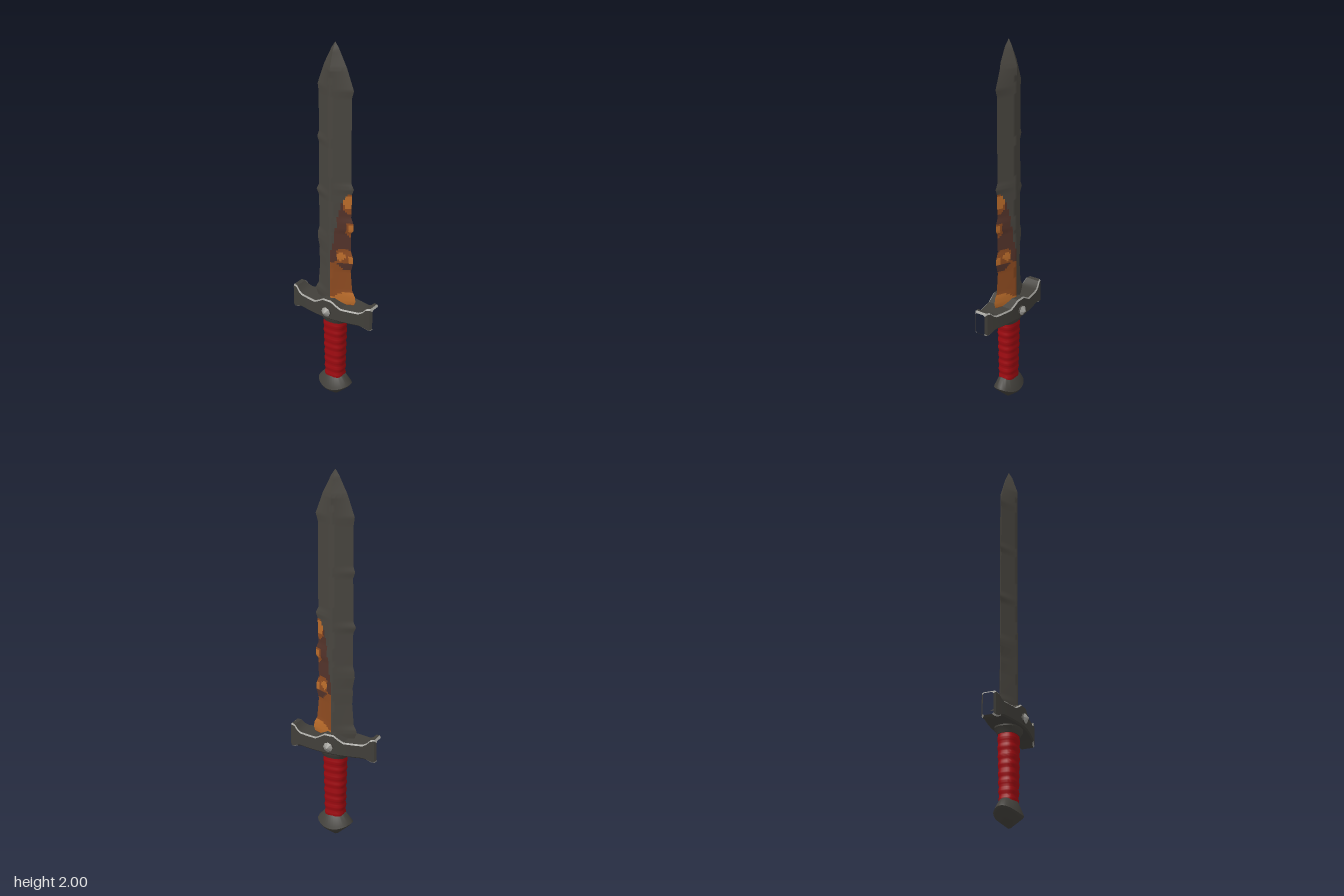
import * as THREE from 'three';
import { toCreasedNormals } from 'three/addons/utils/BufferGeometryUtils.js';

const paint = (name, color) => {
  const m = new THREE.MeshStandardMaterial({ color });
  m.name = name;
  return m;
};

// Linear lookup in a table of [key, value] pairs
function lookup(table, k) {
  if (k <= table[0][0]) return table[0][1];
  for (let i = 1; i < table.length; i++) {
    const [a, va] = table[i - 1], [b, vb] = table[i];
    if (k <= b) return va + (vb - va) * (k - a) / (b - a);
  }
  return table[table.length - 1][1];
}

// Collects quads per material and turns them into one mesh with groups
class Patchwork {
  constructor() { this.map = new Map(); }
  quad(mat, a, b, c, d) {
    if (!this.map.has(mat)) this.map.set(mat, []);
    this.map.get(mat).push(...a, ...b, ...c, ...a, ...c, ...d);
  }
  mesh(name, crease) {
    let geo = new THREE.BufferGeometry();
    const all = [], mats = [...this.map.keys()];
    mats.forEach((m, i) => {
      const p = this.map.get(m);
      geo.addGroup(all.length / 3, p.length / 3, i);
      for (const v of p) all.push(v);
    });
    geo.setAttribute('position', new THREE.Float32BufferAttribute(all, 3));
    geo = toCreasedNormals(geo, crease);
    const mesh = new THREE.Mesh(geo, mats);
    mesh.name = name;
    return mesh;
  }
}

// Chipped edge outlines: [height, half width]
const leftEdge = [[0.57, 0.105], [0.6, 0.115], [0.625, 0.125], [0.66, 0.106], [0.78, 0.096], [0.84, 0.1],
  [0.87, 0.098], [0.93, 0.11], [0.96, 0.108], [0.99, 0.099], [1.17, 0.1], [1.2, 0.115], [1.23, 0.101],
  [1.46, 0.098], [1.49, 0.109], [1.52, 0.099], [1.73, 0.099], [1.77, 0.105], [1.88, 0.066], [1.97, 0.021], [2, 0.001]];
const rightEdge = [[0.57, 0.11], [0.61, 0.127], [0.64, 0.122], [0.67, 0.106], [0.78, 0.096], [0.83, 0.11],
  [0.86, 0.11], [0.9, 0.096], [1, 0.097], [1.02, 0.111], [1.06, 0.11], [1.09, 0.097], [1.17, 0.1],
  [1.22, 0.101], [1.25, 0.112], [1.28, 0.097], [1.73, 0.097], [1.77, 0.109], [1.88, 0.068], [1.97, 0.022], [2, 0.001]];
const thickness = [[1.87, 0.05], [1.96, 0.022], [2, 0.001]];

// Rust: where it starts, and blobs [x, y, rx, ry]
const rustStart = [[0.57, -0.001], [0.88, 0], [0.95, 0.018], [1.1, 0.036], [1.17, 0.055], [1.22, 0.08], [1.24, 0.2]];
const brightBlobs = [[0.088, 1.175, 0.024, 0.04], [0.105, 1.03, 0.018, 0.025], [0.085, 0.625, 0.065, 0.035],
  [0.05, 0.865, 0.022, 0.022], [0.1, 0.85, 0.014, 0.02], [0.02, 0.6, 0.03, 0.03]];
const darkBlobs = [[0.085, 0.81, 0.03, 0.022], [0.01, 0.87, 0.025, 0.04]];
const midBlobs = [[0.09, 1.17, 0.035, 0.06], [0.1, 1.02, 0.028, 0.045], [0.06, 0.87, 0.04, 0.045]];
const inside = (blobs, x, y) => blobs.some(([cx, cy, rx, ry]) => ((x - cx) / rx) ** 2 + ((y - cy) / ry) ** 2 < 1);

function makeBlade(steel, bright, mid, dark) {
  const work = new Patchwork();
  const rows = 143, cols = 10;
  const colour = (x, y) => {
    if (x < lookup(rustStart, y)) return steel;
    if (inside(brightBlobs, x, y)) return bright;
    if (inside(darkBlobs, x, y)) return dark;
    if (inside(midBlobs, x, y)) return mid;
    return y < 0.83 + 0.02 * Math.sin(x * 90) ? mid : dark;
  };
  // Diamond section; t runs from -1 at one edge to 1 at the other
  const point = (t, y, side) => [
    t * lookup(t < 0 ? leftEdge : rightEdge, y), y, side * lookup(thickness, y) * (1 - Math.abs(t))];
  for (let r = 0; r < rows; r++) {
    const y0 = 0.57 + r * 0.01, y1 = y0 + 0.01;
    for (let c = -cols; c < cols; c++) {
      const t0 = c / cols, t1 = (c + 1) / cols, ym = (y0 + y1) / 2;
      const mat = colour(point((t0 + t1) / 2, ym, 1)[0], ym);
      work.quad(mat, point(t0, y0, 1), point(t1, y0, 1), point(t1, y1, 1), point(t0, y1, 1));
      work.quad(mat, point(t1, y0, -1), point(t0, y0, -1), point(t0, y1, -1), point(t1, y1, -1));
    }
  }
  return work.mesh('blade', 1.05);
}

function makeGuard(metal, silver) {
  const work = new Patchwork();
  const top = [[0, 0.62], [0.025, 0.62], [0.05, 0.604], [0.08, 0.587], [0.18, 0.587], [0.2, 0.597],
    [0.22, 0.617], [0.24, 0.62], [0.25, 0.611]];
  const bottom = [[0, 0.508], [0.18, 0.508], [0.2, 0.502], [0.22, 0.491], [0.24, 0.488], [0.25, 0.497]];
  const half = [0.025, 0.05, 0.08, 0.105, 0.13, 0.155, 0.18, 0.2, 0.22, 0.24, 0.25];
  const xs = [...half.map(x => -x).reverse(), 0, ...half];
  const b = 0.007;
  // Bevelled rectangle across the guard, counter-clockwise seen from +x
  const section = x => {
    const a = Math.abs(x), hi = lookup(top, a), lo = lookup(bottom, a);
    const z = 0.082 - 0.047 * (a / 0.25) ** 1.7 - (a > 0.245 ? 0.007 : 0);
    return [[z - b, lo], [-z + b, lo], [-z, lo + b], [-z, hi - b], [-z + b, hi], [z - b, hi], [z, hi - b], [z, lo + b]]
      .map(([pz, py]) => [x, py, pz]);
  };
  for (let i = 0; i < xs.length - 1; i++) {
    const p = section(xs[i]), q = section(xs[i + 1]);
    const a = Math.abs(xs[i] + xs[i + 1]) / 2;
    for (let k = 0; k < 8; k++) {
      const n = (k + 1) % 8;
      const worn = k === 3 || k === 5 || (a > 0.19 && (k === 1 || k === 7)) || (a > 0.24 && k === 4);
      work.quad(worn ? silver : metal, p[k], p[n], q[n], q[k]);
    }
  }
  // End caps
  for (const s of [-1, 1]) {
    const p = section(0.25 * s);
    for (const [i, j, k, l] of [[0, 1, 2, 7], [7, 2, 3, 6], [6, 3, 4, 5]]) {
      if (s < 0) work.quad(metal, p[i], p[j], p[k], p[l]);
      else work.quad(metal, p[l], p[k], p[j], p[i]);
    }
  }
  return work.mesh('crossguard', 0.5);
}

// Turned part squashed in z; power below 1 makes the oval squarer
function turned(name, profile, depth, mat, power = 1, bend = null, crease = 0.6) {
  let geo = new THREE.LatheGeometry(profile.map(([r, y]) => new THREE.Vector2(r, y)), 32);
  const pos = geo.attributes.position;
  for (let i = 0; i < pos.count; i++) {
    const x = pos.getX(i), y = pos.getY(i), z = pos.getZ(i), r = Math.hypot(x, z) || 1;
    const c = x / r, s = z / r;
    const square = v => Math.sign(v) * Math.abs(v) ** power;
    pos.setXYZ(i, r * square(c), y + (bend ? bend(y, s) : 0), r * square(s) * depth);
  }
  geo = toCreasedNormals(geo, crease);
  const mesh = new THREE.Mesh(geo, mat);
  mesh.name = name;
  return mesh;
}

export function createModel() {
  const steel = paint('dark steel', 0x48453f);
  const metal = paint('guard metal', 0x413f3a);
  const silver = paint('worn silver', 0x9c9b96);
  const red = paint('red leather', 0x9c0a10);
  const bright = paint('bright rust', 0xbb6c2a);
  const mid = paint('rust', 0x8c4a20);
  const dark = paint('dark rust', 0x53332a);

  const sword = new THREE.Group();
  sword.name = 'sword';
  sword.add(makeBlade(steel, bright, mid, dark), makeGuard(metal, silver));

  // Pointed studs on both faces of the guard
  for (const s of [1, -1]) {
    const stud = new THREE.Group();
    stud.name = s > 0 ? 'frontStud' : 'backStud';
    const base = new THREE.Mesh(new THREE.CylinderGeometry(0.028, 0.028, 0.015, 8), metal);
    base.name = 'studBase';
    const cone = new THREE.Mesh(toCreasedNormals(new THREE.ConeGeometry(0.027, 0.02, 8), 0.2), silver);
    cone.name = 'studPoint';
    cone.position.y = 0.0175;
    stud.add(base, cone);
    stud.position.set(0, 0.552, s * 0.082);
    stud.rotation.x = s * Math.PI / 2;
    sword.add(stud);
  }

  // Collar below the guard
  sword.add(turned('collar', [[0, 0.472], [0.066, 0.472], [0.072, 0.484], [0.084, 0.5], [0.084, 0.515]], 0.78, metal, 0.85));

  // Grip with wrapped ridges
  const wrap = [];
  for (let i = 0; i <= 56; i++) {
    const f = i / 56;
    wrap.push([0.054 + 0.008 * f + 0.002 * Math.sin(f * Math.PI * 16), 0.125 + 0.355 * f]);
  }
  sword.add(turned('grip', wrap, 0.8, red, 0.75, null, 1));

  // Pommel, its widest ring dipping at front and back
  sword.add(turned('pommel',
    [[0, 0], [0.015, 0.007], [0.09, 0.077], [0.099, 0.089], [0.093, 0.1], [0.06, 0.137], [0.052, 0.142], [0, 0.142]],
    0.7, metal, 1, (y, s) => (y > 0.05 && y < 0.12 ? -0.028 * s * s : 0), 0.7));

  return sword;
}
